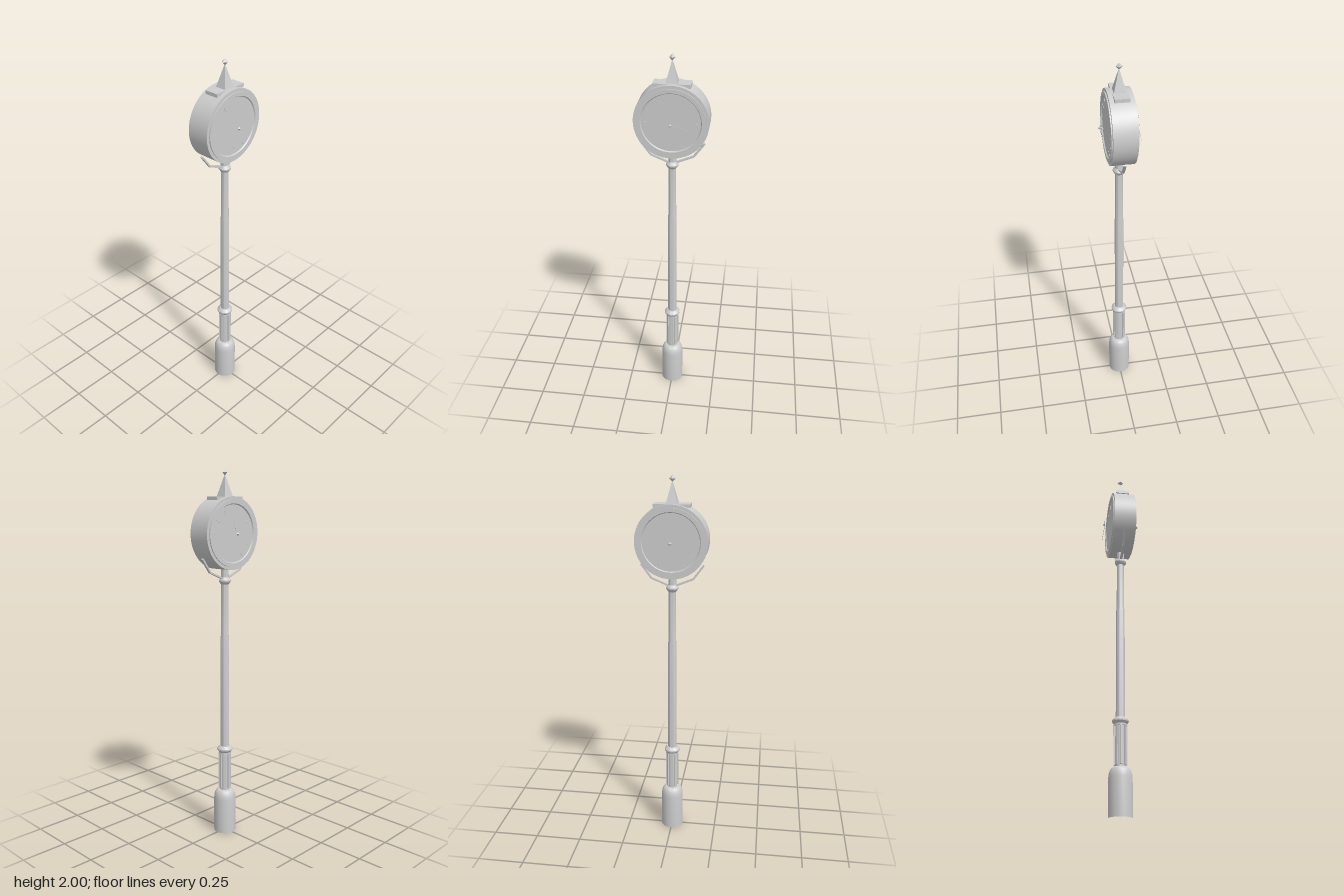
import * as THREE from 'three';
import { toCreasedNormals } from 'three/addons/utils/BufferGeometryUtils.js';

const grey = new THREE.MeshStandardMaterial({ color: 0xcccccc });
grey.name = 'painted grey';
const thinGrey = grey; // one colour throughout

function add(parent, name, geometry, x = 0, y = 0, z = 0) {
  const mesh = new THREE.Mesh(geometry, thinGrey);
  mesh.name = name;
  mesh.position.set(x, y, z);
  parent.add(mesh);
  return mesh;
}

// turned part with sharp edges, points are [radius, height] from bottom to top
function turned(points, sides = 32, crease = 0.6) {
  const profile = points.map(([r, h]) => new THREE.Vector2(r, h));
  return toCreasedNormals(new THREE.LatheGeometry(profile, sides), crease);
}

// thin pointed hand lying in the xy plane, with a short tail
function handGeometry(dx, dy, width, thickness) {
  const length = Math.hypot(dx, dy);
  const shape = new THREE.Shape();
  shape.moveTo(-0.014, -width * 0.3);
  shape.lineTo(0.012, -width / 2);
  shape.lineTo(length, 0);
  shape.lineTo(0.012, width / 2);
  shape.lineTo(-0.014, width * 0.3);
  return new THREE.ExtrudeGeometry(shape, { depth: thickness, bevelEnabled: false })
    .rotateZ(Math.atan2(dy, dx));
}

// square bar between two points in the xy plane
function bar(parent, name, a, b, width, depth) {
  const dx = b[0] - a[0], dy = b[1] - a[1];
  const mesh = add(parent, name, new THREE.BoxGeometry(Math.hypot(dx, dy) + width * 0.5, width, depth),
    (a[0] + b[0]) / 2, (a[1] + b[1]) / 2, 0);
  mesh.rotation.z = Math.atan2(dy, dx);
}

export function createModel() {
  const clock = new THREE.Group();
  clock.name = 'streetClock';

  // pedestal, open underneath, with rounded shoulder
  add(clock, 'pedestal', turned([
    [0.061, 0], [0.061, 0.195], [0.059, 0.215], [0.054, 0.232], [0.047, 0.243], [0.038, 0.249], [0.02, 0.25],
  ]));

  // ribbed lower shaft
  add(clock, 'lowerShaft', turned([[0.028, 0.245], [0.028, 0.475]]));
  for (let i = 0; i < 8; i++) {
    const a = (i * Math.PI) / 4;
    const rib = add(clock, 'shaftRib', new THREE.BoxGeometry(0.012, 0.205, 0.009),
      Math.sin(a) * 0.0305, 0.3625, Math.cos(a) * 0.0305);
    rib.rotation.y = a;
  }

  // lower collar, tapering post, upper collar and neck
  add(clock, 'lowerCollar', turned([
    [0.02, 0.46], [0.034, 0.462], [0.034, 0.472], [0.043, 0.484], [0.043, 0.492], [0.03, 0.506], [0.02, 0.507],
  ]));
  add(clock, 'post', turned([[0.024, 0.5], [0.0235, 1.12], [0.021, 1.135], [0.0195, 1.415]]));
  add(clock, 'upperCollar', turned([
    [0.019, 1.408], [0.024, 1.412], [0.032, 1.424], [0.032, 1.431], [0.021, 1.446], [0.02, 1.5],
  ]));

  // bent side brackets
  for (const s of [1, -1]) {
    bar(clock, 'bracketArm', [s * 0.015, 1.439], [s * 0.11, 1.478], 0.009, 0.014);
    bar(clock, 'bracketTip', [s * 0.11, 1.478], [s * 0.163, 1.549], 0.009, 0.014);
  }

  // clock drum with raised bezels and recessed dials
  const head = new THREE.Group();
  head.name = 'clockHead';
  head.position.y = 1.675;
  clock.add(head);
  add(head, 'drum', turned([
    [0, -0.06], [0.148, -0.06], [0.152, -0.066], [0.172, -0.066], [0.172, -0.06], [0.188, -0.06],
    [0.188, 0.06], [0.172, 0.06], [0.172, 0.066], [0.152, 0.066], [0.148, 0.06], [0, 0.06],
  ], 64).rotateX(Math.PI / 2));

  // hour marks, hands and hub on both dials
  for (const s of [1, -1]) {
    for (let i = 0; i < 12; i++) {
      const a = (i * Math.PI) / 6;
      const mark = add(head, 'hourMark', new THREE.BoxGeometry(0.003, 0.024, 0.002),
        Math.sin(a) * 0.125, Math.cos(a) * 0.125, s * 0.0605);
      mark.rotation.z = -a;
    }
    add(head, 'hourHand', handGeometry(0.03, 0.067, 0.011, 0.001), 0, 0, s * 0.091);
    add(head, 'minuteHand', handGeometry(0.108, -0.034, 0.011, 0.001), 0, 0, s * 0.093);
    add(head, 'hub', new THREE.OctahedronGeometry(0.01), 0, 0, s * 0.094);
  }

  // roof plate, spire and finial
  add(clock, 'roofPlate', new THREE.BoxGeometry(0.188, 0.018, 0.073), 0, 1.853, 0);
  const spire = new THREE.ConeGeometry(0.03 * Math.SQRT2, 0.115, 4, 1).toNonIndexed();
  spire.rotateY(Math.PI / 4);
  spire.computeVertexNormals();
  add(clock, 'spire', spire, 0, 1.9175, 0);
  add(clock, 'finial', new THREE.OctahedronGeometry(0.017), 0, 1.983, 0);

  return clock;
}
